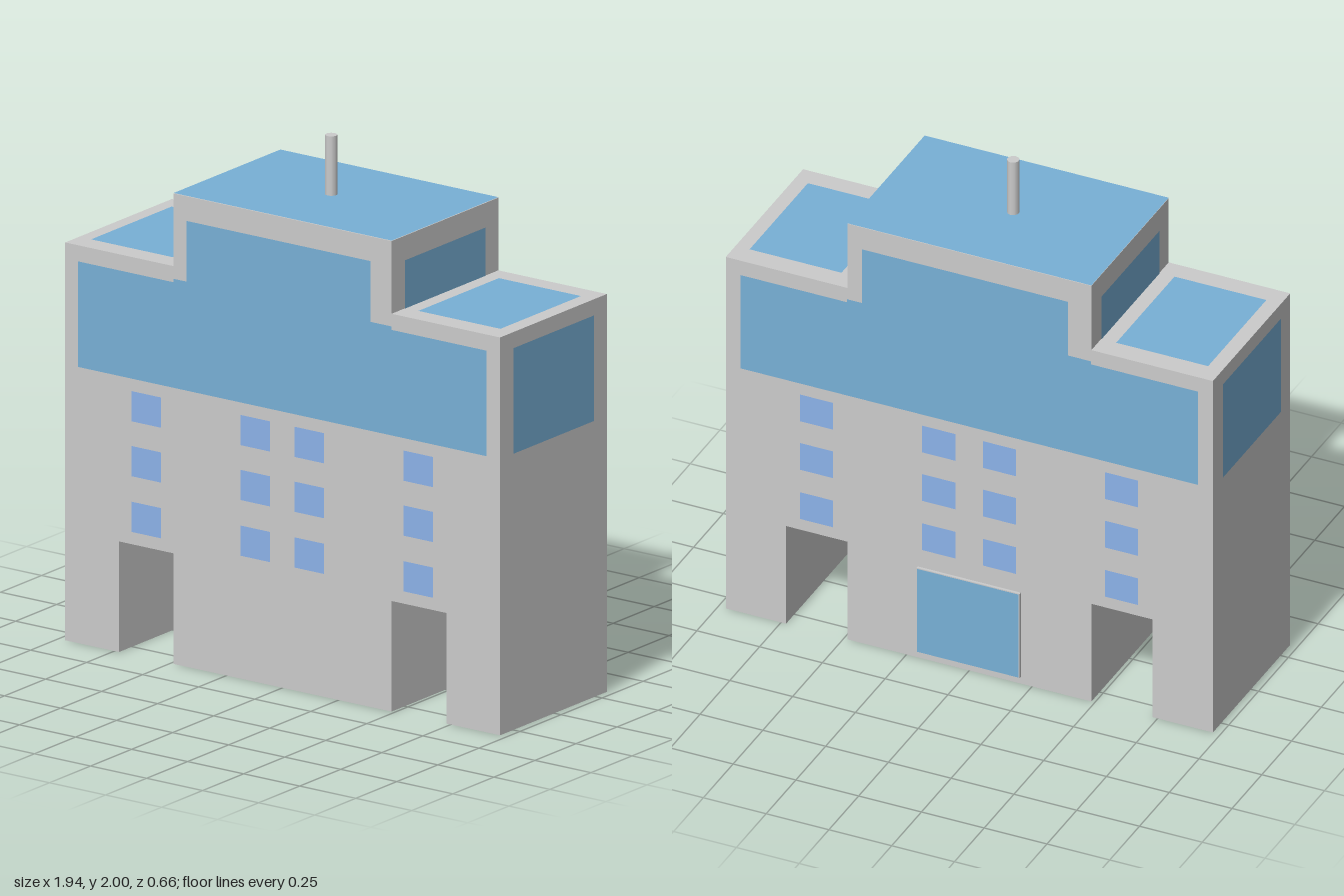
import * as THREE from 'three';

const FRONT = 0.33, BACK = -0.32, MID = (FRONT + BACK) / 2, GAP = 0.002;

const grey = new THREE.MeshStandardMaterial({ color: 0xcccccc });
const greyThin = new THREE.MeshStandardMaterial({ color: 0xcccccc, side: THREE.DoubleSide });
const glass = new THREE.MeshStandardMaterial({ color: 0x78b0d6 });
const windowBlue = new THREE.MeshStandardMaterial({ color: 0x8cb2e9 });

const polygon = (points) => new THREE.Shape(points.map(([x, y]) => new THREE.Vector2(x, y)));

function addMesh(parent, name, geometry, material, x = 0, y = 0, z = 0) {
  const mesh = new THREE.Mesh(geometry, material);
  mesh.name = name;
  mesh.position.set(x, y, z);
  parent.add(mesh);
  return mesh;
}

// Stepped silhouette with two side passages and a central one
function createBody() {
  const outline = polygon([
    [-0.97, 0], [-0.73, 0], [-0.73, 0.417], [-0.486, 0.417], [-0.486, 0],
    [-0.245, 0], [-0.245, 0.417], [0.245, 0.417], [0.245, 0],
    [0.486, 0], [0.486, 0.417], [0.73, 0.417], [0.73, 0], [0.97, 0],
    [0.97, 1.5], [0.486, 1.5], [0.486, 1.774], [-0.486, 1.774], [-0.486, 1.5], [-0.97, 1.5],
  ]);
  const geometry = new THREE.ExtrudeGeometry(outline, { depth: FRONT - BACK, bevelEnabled: false });
  return geometry.translate(0, 0, BACK - MID);
}

// Glazing and windows of one long face, built facing +z
function createFacade(name) {
  const facade = new THREE.Group();
  facade.name = name;
  const z = (FRONT - BACK) / 2 + GAP;
  const band = polygon([
    [-0.911, 1.042], [0.911, 1.042], [0.911, 1.44], [0.486, 1.44], [0.486, 1.453],
    [0.393, 1.453], [0.393, 1.682], [-0.427, 1.682], [-0.427, 1.453],
    [-0.486, 1.453], [-0.486, 1.44], [-0.911, 1.44],
  ]);
  addMesh(facade, 'upperGlazing', new THREE.ShapeGeometry(band), glass, 0, 0, z);
  const pane = new THREE.PlaneGeometry(0.132, 0.114);
  for (const x of [-0.607, -0.121, 0.121, 0.607]) {
    for (const y of [0.521, 0.731, 0.938]) addMesh(facade, 'window', pane, windowBlue, x, y, z);
  }
  // Thin wall closing the central passage
  addMesh(facade, 'passageWall', new THREE.PlaneGeometry(0.49, 0.417), greyThin, 0, 0.2085, z - GAP);
  return facade;
}

export function createModel() {
  const model = new THREE.Group();
  model.name = 'building';

  const block = new THREE.Group();
  block.name = 'block';
  block.position.z = MID;
  model.add(block);

  addMesh(block, 'body', createBody(), grey);
  block.add(createFacade('frontFacade'));
  const rear = createFacade('backFacade');
  rear.rotation.y = Math.PI;
  block.add(rear);

  // Side glazing and wing roof panels
  for (const s of [-1, 1]) {
    const wing = addMesh(block, 'wingSideGlazing', new THREE.PlaneGeometry(0.49, 0.398), glass, s * (0.97 + GAP), 1.241);
    const tower = addMesh(block, 'towerSideGlazing', new THREE.PlaneGeometry(0.49, 0.182), glass, s * (0.486 + GAP), 1.591);
    wing.rotation.y = tower.rotation.y = s * Math.PI / 2;
    const roof = addMesh(block, 'wingRoofPanel', new THREE.PlaneGeometry(0.366, 0.49), glass, s * 0.73, 1.5 + GAP);
    roof.rotation.x = -Math.PI / 2;
  }

  // Tower roof and mast
  const roof = addMesh(block, 'towerRoof', new THREE.PlaneGeometry(0.972, FRONT - BACK), glass, 0, 1.774 + GAP);
  roof.rotation.x = -Math.PI / 2;
  addMesh(block, 'mast', new THREE.CylinderGeometry(0.023, 0.023, 0.226, 10), grey, -0.021, 1.887);

  // Rear door slab with a glass face
  addMesh(model, 'rearDoor', new THREE.BoxGeometry(0.41, 0.36, 0.012), grey, 0, 0.208, BACK - 0.004);
  const doorGlass = addMesh(model, 'rearDoorGlass', new THREE.PlaneGeometry(0.404, 0.354), glass, 0, 0.208, BACK - 0.0115);
  doorGlass.rotation.y = Math.PI;

  return model;
}
